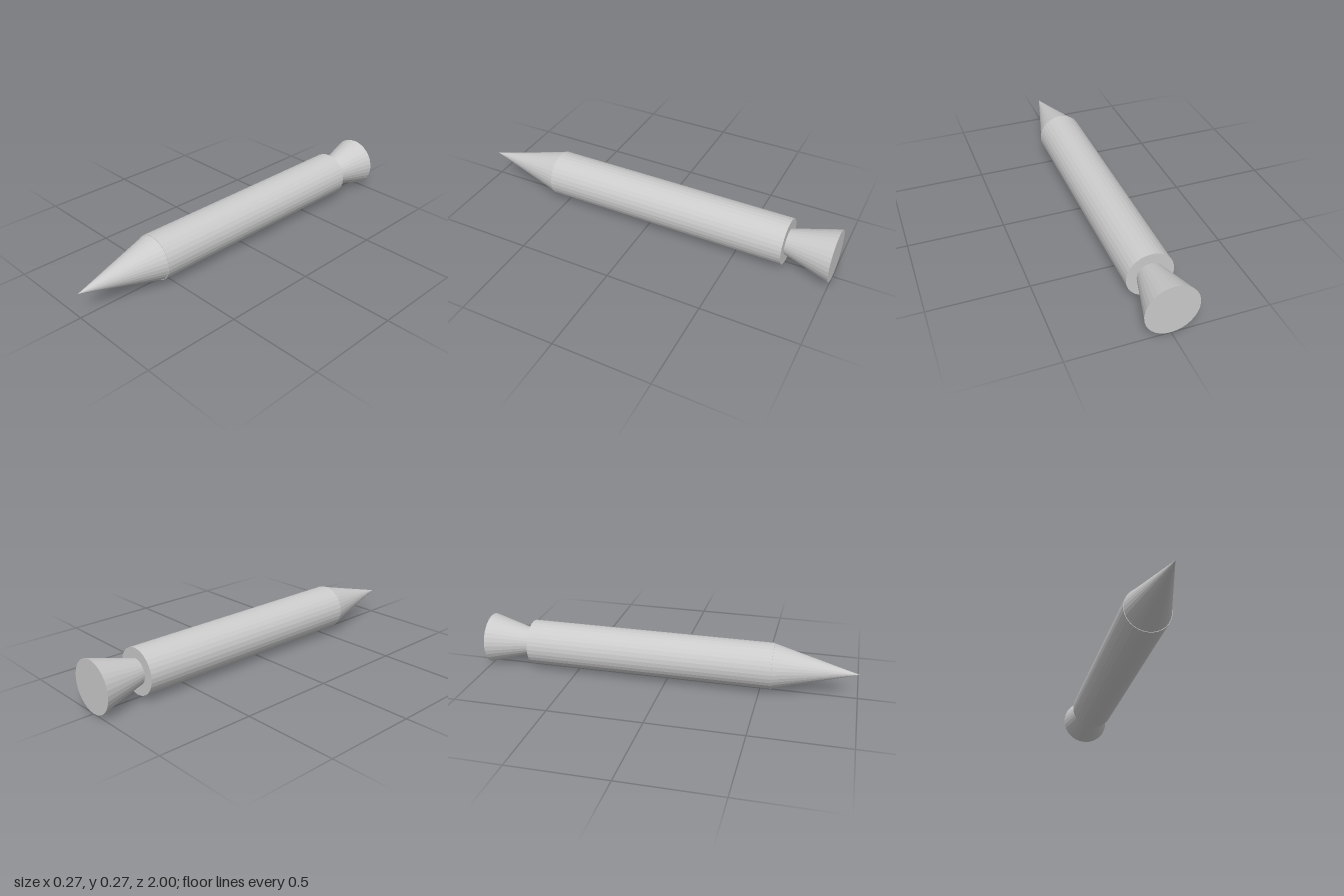
import * as THREE from 'three';

const SIDES = 32;
const AXIS_HEIGHT = 0.135;

export function createModel() {
  const model = new THREE.Group();
  model.name = 'rocket';
  const material = new THREE.MeshStandardMaterial({ color: 0xcccccc, flatShading: true });

  // A capped round section lying along z, from its back end to its front end
  function addSection(name, backZ, frontZ, backRadius, frontRadius) {
    const geometry = new THREE.CylinderGeometry(frontRadius, backRadius, frontZ - backZ, SIDES);
    geometry.rotateX(Math.PI / 2);
    const mesh = new THREE.Mesh(geometry, material);
    mesh.name = name;
    mesh.position.set(0, AXIS_HEIGHT, (backZ + frontZ) / 2);
    model.add(mesh);
  }

  addSection('noseCone', 0.56, 1, 0.118, 0);
  addSection('body', -0.757, 0.563, 0.12, 0.12);
  addSection('nozzle', -1, -0.757, 0.135, 0.067);

  return model;
}
